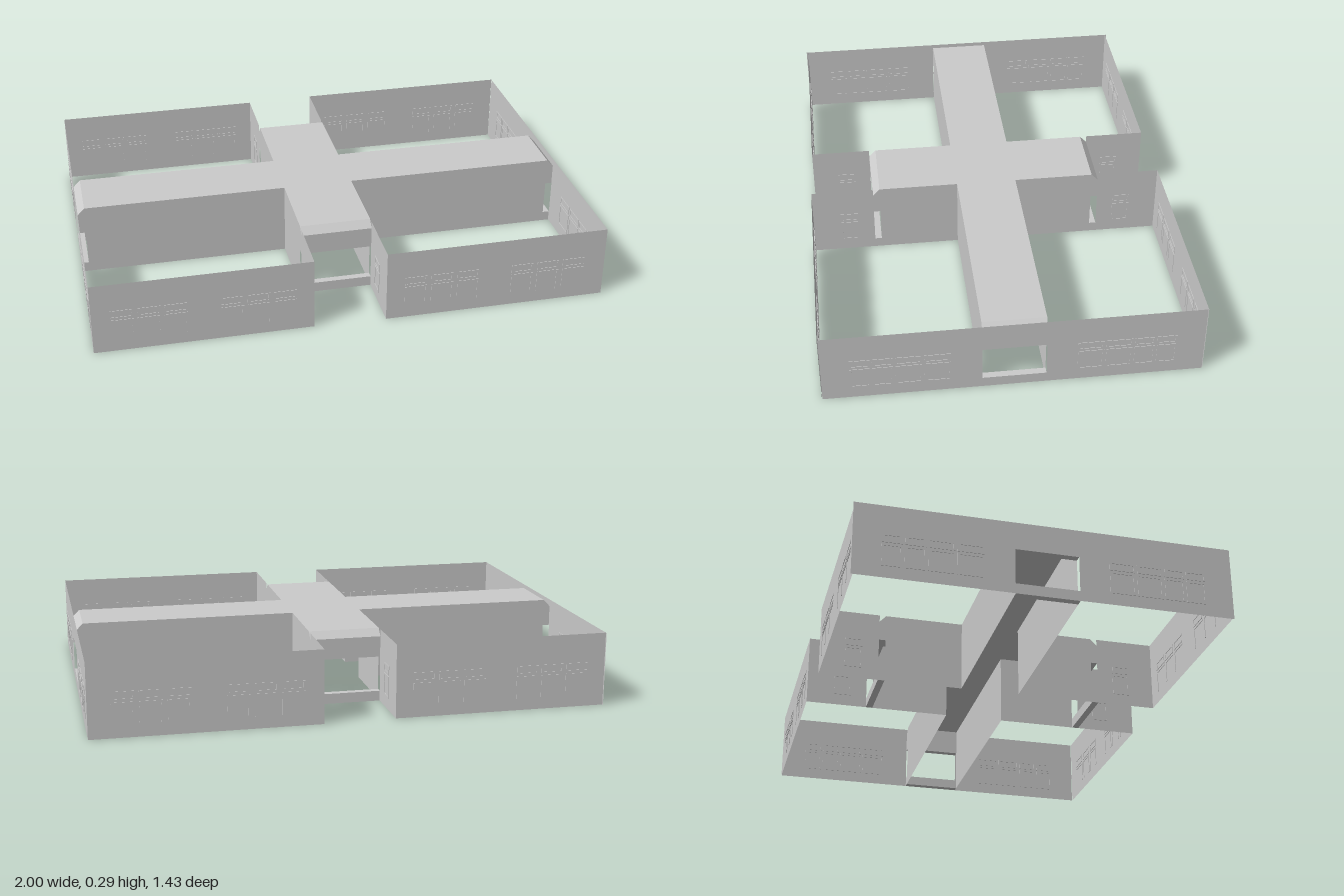
import * as THREE from 'three';

const mat = new THREE.MeshStandardMaterial({ color: 0xcccccc, side: THREE.DoubleSide, flatShading: true });
const H = 0.29, SILL = 0.04, HEAD = 0.18;       // wall height, opening bottom and top
const X0 = -0.16, X1 = 0.12, ZW = 0.12;         // sides of the two crossing corridors
const EX = 0.97, EZ = 0.437, LIP = 0.027;       // corridor ends and depth of their lintels

export function createModel() {
  const model = new THREE.Group();

  const add = (parent, name, geometry) => {
    const mesh = new THREE.Mesh(geometry, mat);
    mesh.name = name;
    parent.add(mesh);
    return mesh;
  };

  const rect = (a, b, y0, y1, Type = THREE.Shape) => {
    const s = new Type();
    s.moveTo(a, y0).lineTo(b, y0).lineTo(b, y1).lineTo(a, y1).closePath();
    return s;
  };

  // thin wall along x (at a given z) or along z (at a given x)
  const wall = (name, axis, a, b, at, opening) => {
    const shape = rect(a, b, 0, H);
    if (opening) shape.holes.push(rect(-ZW, ZW, SILL, HEAD, THREE.Path));
    const mesh = add(model, name, new THREE.ShapeGeometry(shape));
    if (axis === 'x') mesh.position.z = at;
    else {
      mesh.rotation.y = -Math.PI / 2;
      mesh.position.x = at;
    }
  };

  // window bars: each pane has a small upper light and a tall lower one
  const windows = (name, axis, at, panes, sides = 'both', bottom = true) => {
    const group = new THREE.Group();
    group.name = name;
    model.add(group);
    const T = 0.007, D = 0.004;
    const bar = (u0, u1, y0, y1) => {
      const m = add(group, 'windowBar', new THREE.BoxGeometry(u1 - u0, y1 - y0, D));
      m.position.set((u0 + u1) / 2, (y0 + y1) / 2, 0);
    };
    panes.forEach(([a, b], i) => {
      for (const [y0, y1, hasBottom] of [[0.141, 0.176, true], [0.047, 0.135, bottom]]) {
        bar(a, b, y1 - T, y1);
        if (hasBottom) bar(a, b, y0, y0 + T);
        const openLeft = sides === 'openLeft' && (i === 0 || !hasBottom);
        const openRight = sides === 'openRight' && i === panes.length - 1;
        if (!openLeft) bar(a, a + T, y0, y1);
        if (!openRight) bar(b - T, b, y0, y1);
      }
    });
    if (axis === 'x') group.position.z = at;
    else {
      group.rotation.y = -Math.PI / 2;
      group.position.x = at;
    }
  };

  // end walls with corridor openings
  const endPanes = [[0.235, 0.332], [0.34, 0.438], [0.446, 0.522], [0.53, 0.605]];
  for (const s of [-1, 1]) {
    wall('endWall', 'z', -0.71, 0.71, s * 0.998, true);
    for (const m of [-1, 1]) {
      windows('endWindow', 'z', s * 0.998, endPanes.map(([a, b]) => (m > 0 ? [a, b] : [-b, -a])));
    }
  }

  // long walls, broken by a recess in the middle
  const three = (start, step) => [0, 1, 2].map(i => [start + i * step, start + i * step + 0.087]);
  for (const s of [-1, 1]) {
    wall('longWallRight', 'x', -0.998, X0, s * 0.703);
    wall('longWallLeft', 'x', X1, 0.998, s * 0.712);
    windows('longWindow', 'x', s * 0.703, three(-0.927, 0.1), 'openLeft', false);
    windows('longWindow', 'x', s * 0.703, three(-0.515, 0.1), 'openLeft', false);
    windows('longWindow', 'x', s * 0.712, three(0.192, 0.104), 'both', false);
    windows('longWindow', 'x', s * 0.712, three(0.618, 0.104), 'openRight', false);

    // return walls of the recess, each with one window
    for (const [x, zEnd] of [[X0, 0.703], [X1, 0.712]]) {
      const [a, b] = [s * 0.464, s * zEnd].sort((p, q) => p - q);
      wall('recessWall', 'z', a, b, x);
      windows('recessWindow', 'z', x, [s > 0 ? [0.53, 0.6] : [-0.6, -0.53]]);
    }
  }

  // cross-shaped corridor roof
  const cross = [[-EX, -ZW], [X0, -ZW], [X0, -EZ], [X1, -EZ], [X1, -ZW], [EX, -ZW],
    [EX, ZW], [X1, ZW], [X1, EZ], [X0, EZ], [X0, ZW], [-EX, ZW]];
  const roof = add(model, 'corridorRoof',
    new THREE.ShapeGeometry(new THREE.Shape(cross.map(([x, z]) => new THREE.Vector2(x, -z)))));
  roof.rotation.x = -Math.PI / 2;
  roof.position.y = H;

  // corridor side walls
  for (const s of [-1, 1]) {
    wall('corridorWall', 'x', -EX, X0, s * ZW);
    wall('corridorWall', 'x', X1, EX, s * ZW);
    for (const x of [X0, X1]) wall('corridorWall', 'z', s > 0 ? ZW : -EZ, s > 0 ? EZ : -ZW, x);
  }

  // lintel with sloping top and low sill at each corridor end
  const profile = pts => new THREE.Shape(pts.map(p => new THREE.Vector2(...p)));
  const lintel = profile([[0, HEAD], [LIP, HEAD], [LIP, 0.262], [0, H]]);
  const sill = rect(0, LIP, 0, SILL);
  const ends = [
    [EX, 0, 0, 2 * ZW], [-EX, 0, Math.PI, 2 * ZW],
    [(X0 + X1) / 2, EZ, -Math.PI / 2, X1 - X0], [(X0 + X1) / 2, -EZ, Math.PI / 2, X1 - X0],
  ];
  for (const [x, z, turn, width] of ends) {
    const end = new THREE.Group();
    end.name = 'corridorEnd';
    end.position.set(x, 0, z);
    end.rotation.y = turn;
    model.add(end);
    for (const [name, shape] of [['lintel', lintel], ['sill', sill]]) {
      const g = new THREE.ExtrudeGeometry(shape, { depth: width, bevelEnabled: false });
      add(end, name, g.translate(0, 0, -width / 2));
    }
  }
  return model;
}
